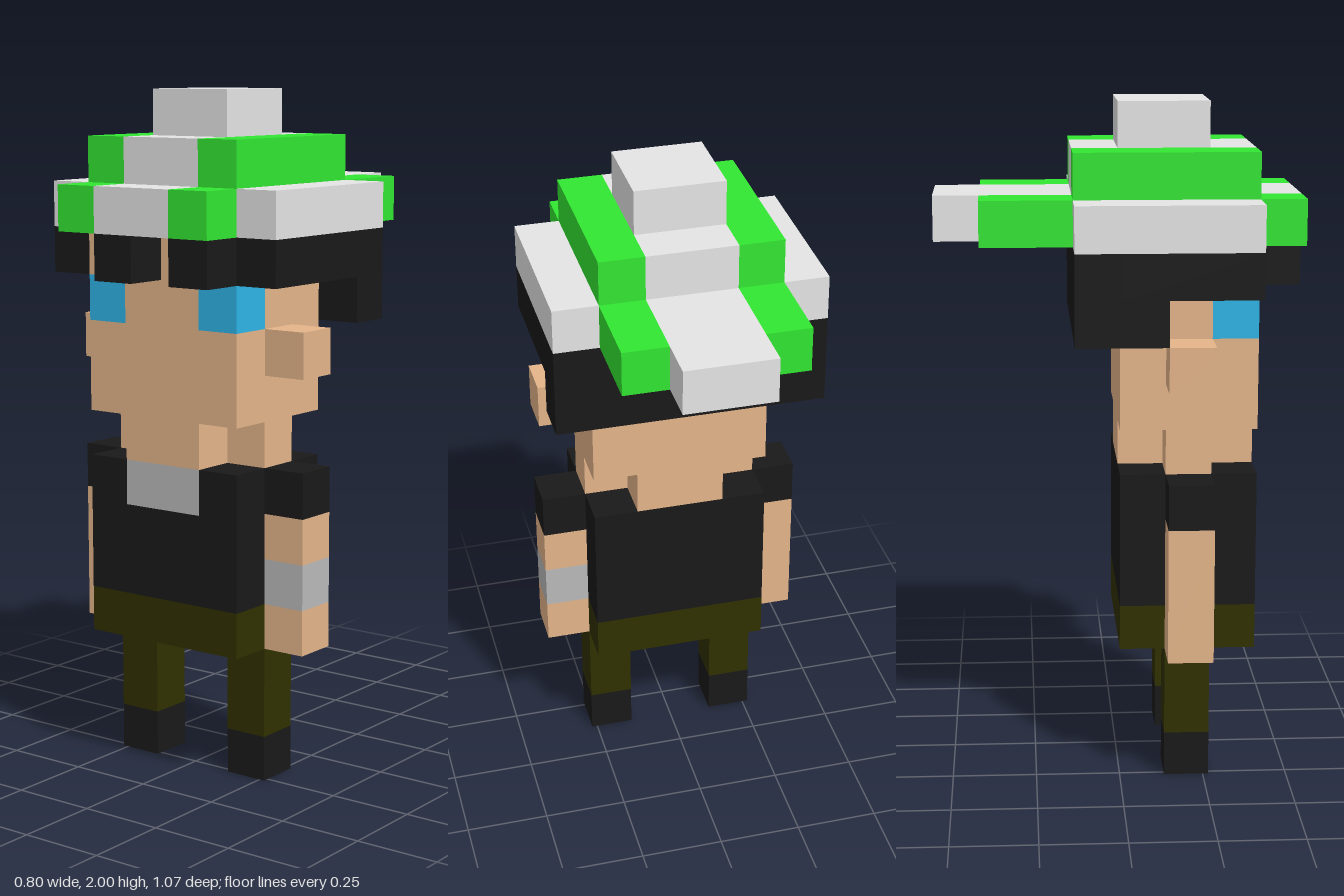
import * as THREE from 'three';

const U = 2 / 15; // edge of one cube

const mat = (name, color) => {
  const m = new THREE.MeshStandardMaterial({ color });
  m.name = name;
  return m;
};

export function createModel() {
  const model = new THREE.Group();
  model.name = 'capFigure';

  const skin = mat('skin', 0xe5b58a);
  const black = mat('black', 0x191919);
  const olive = mat('olive', 0x303000);
  const green = mat('green', 0x33e933);
  const lightGrey = mat('lightGrey', 0xe5e5e5);
  const grey = mat('grey', 0xbababa);
  const blue = mat('blue', 0x2db5e7);

  // Box between two corners, measured in cubes
  const block = (name, material, x0, x1, y0, y1, z0, z1) => {
    const geo = new THREE.BoxGeometry((x1 - x0) * U, (y1 - y0) * U, (z1 - z0) * U);
    const mesh = new THREE.Mesh(geo, material);
    mesh.position.set((x0 + x1) * U / 2, (y0 + y1) * U / 2, (z0 + z1) * U / 2);
    mesh.name = name;
    model.add(mesh);
  };

  // The same box on the left (+x) and the right (-x)
  const pair = (name, material, x0, x1, ...rest) => {
    block(name + 'Left', material, x0, x1, ...rest);
    block(name + 'Right', material, -x1, -x0, ...rest);
  };

  // Legs and shorts
  pair('boot', black, 1, 2, 0, 1, 1, 2);
  pair('leg', olive, 1, 2, 1, 3, 1, 2);
  block('shorts', olive, -2, 2, 3, 4, 0, 3);

  // Shirt with a grey neckline at the front
  block('shirt', black, -2, 2, 4, 6, 0, 3);
  block('shirtShoulders', black, -2, 2, 6, 7, 0, 2);
  pair('shirtStrap', black, 1, 2, 6, 7, 2, 3);
  block('neckline', grey, -1, 1, 6, 7, 2, 3);

  // Arms, with a band on the left one
  pair('sleeve', black, 2, 3, 6, 7, 1, 2);
  block('armRight', skin, -3, -2, 3, 6, 1, 2);
  block('upperArmLeft', skin, 2, 3, 5, 6, 1, 2);
  block('armBand', grey, 2, 3, 4, 5, 1, 2);
  block('handLeft', skin, 2, 3, 3, 4, 1, 2);

  // Cross-shaped neck
  block('neck', skin, -1, 1, 7, 8, 0, 3);
  pair('neckSide', skin, 1, 2, 7, 8, 1, 2);

  // Head, split around the eyes
  block('lowerFace', skin, -2, 2, 8, 10, 0, 3);
  block('headMiddle', skin, -2, 2, 10, 11, 0, 2);
  block('nose', skin, -1, 1, 10, 11, 2, 3);
  pair('eye', blue, 1, 2, 10, 11, 2, 3);
  block('forehead', skin, -2, 2, 11, 12, 0, 3);
  pair('ear', skin, 2, 3, 9, 10, 1, 2);

  // Hair, longer on the right
  block('hairBack', black, -3, 3, 10, 12, -1, 0);
  pair('hairSide', black, 2, 3, 11, 12, 0, 3);
  block('hairLockRight', black, -3, -2, 10, 11, 0, 1);
  block('fringeMiddle', black, -1, 0, 11, 12, 3, 4);
  block('fringeLeft', black, 1, 2, 11, 12, 3, 4);

  // Striped cap with a backward brim
  pair('capSide', lightGrey, 2, 3, 12, 13, -1, 3);
  pair('capStripe', green, 1, 2, 12, 13, -3, 4);
  block('capMiddle', lightGrey, -1, 1, 12, 13, -4, 4);
  pair('capUpperStripe', green, 1, 2, 13, 14, -1, 3);
  block('capUpperMiddle', lightGrey, -1, 1, 13, 14, -1, 3);
  block('capTop', lightGrey, -1, 1, 14, 15, 0, 2);

  return model;
}
